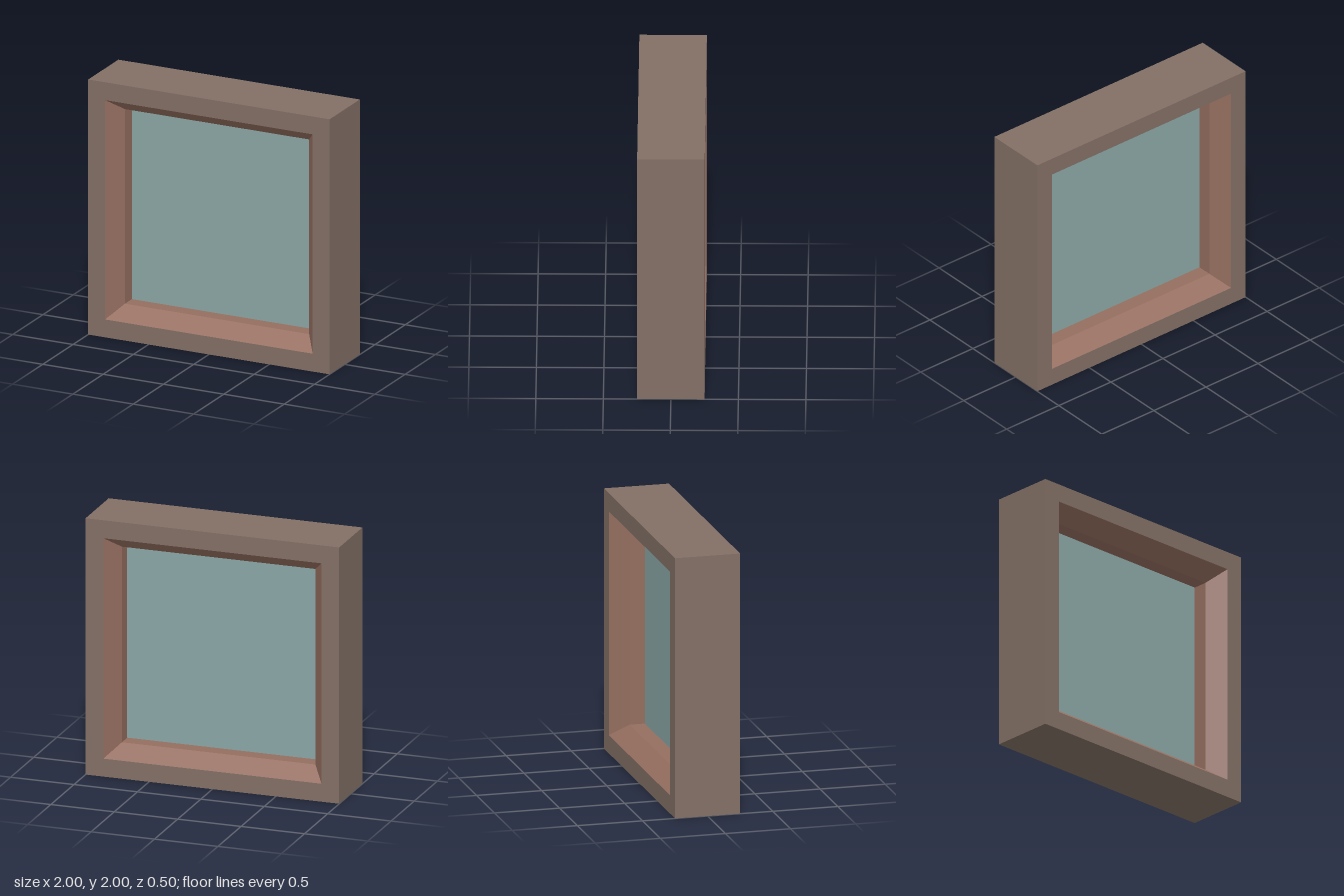
import * as THREE from 'three';

const OUTER = 1, OPENING = 0.86, PANE = 0.763; // half widths
const FRONT = 0.25, STEP = 0.115;              // half depths

// Sweeps a [half width, z] profile around a square, with crisp mitred corners
function squareRing(name, profile, color) {
  const points = profile.map(([r, z]) => new THREE.Vector2(r * Math.SQRT2, z));
  const swept = new THREE.LatheGeometry(points, 4, Math.PI / 4);
  swept.rotateX(Math.PI / 2);
  const geometry = swept.toNonIndexed();
  geometry.computeVertexNormals();
  const mesh = new THREE.Mesh(geometry, new THREE.MeshStandardMaterial({ color }));
  mesh.name = name;
  mesh.position.y = OUTER;
  return mesh;
}

export function createModel() {
  const group = new THREE.Group();
  group.name = 'window';

  // Outer casing: back face, four sides and front face
  group.add(squareRing('frame', [
    [OPENING, -FRONT], [OUTER, -FRONT], [OUTER, FRONT], [OPENING, FRONT],
  ], 0x826f65));

  // Inner lining: chamfer, straight reveal, and the same chamfer at the back
  group.add(squareRing('lining', [
    [OPENING, FRONT], [PANE, STEP], [PANE, -STEP], [OPENING, -FRONT],
  ], 0x956e60));

  // Glass in the middle of the depth, seen from both sides
  const glass = new THREE.Mesh(
    new THREE.PlaneGeometry(PANE * 2, PANE * 2),
    new THREE.MeshStandardMaterial({ color: 0x8aa6a5, side: THREE.DoubleSide }),
  );
  glass.name = 'glassPane';
  glass.position.y = OUTER;
  group.add(glass);

  return group;
}
